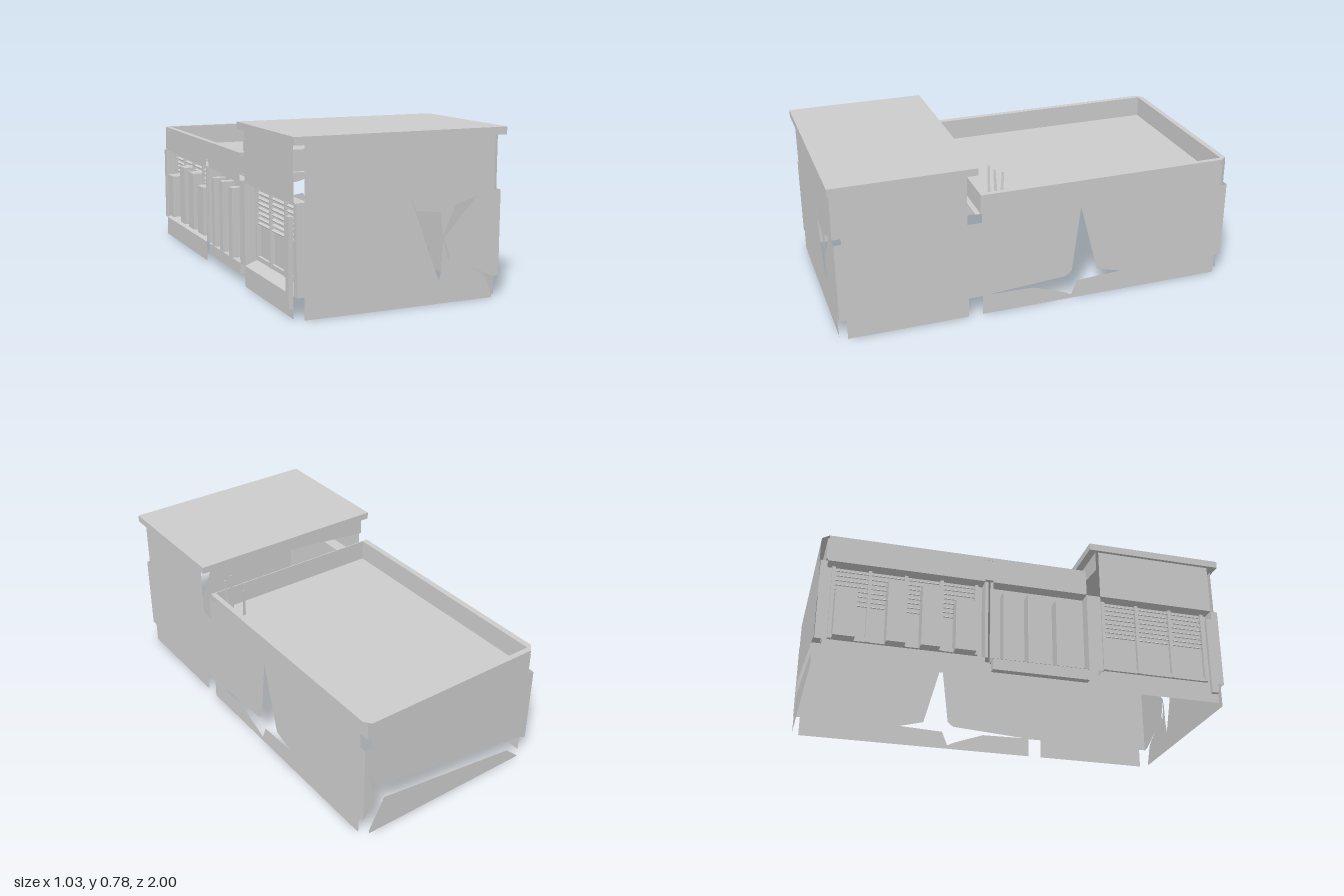
import * as THREE from 'three';

const mat = new THREE.MeshStandardMaterial({ color: 0xcccccc, side: THREE.DoubleSide, flatShading: true });

export function createModel() {
  const model = new THREE.Group();
  const add = (name, geo, parent = model) => {
    const m = new THREE.Mesh(geo, mat);
    m.name = name;
    parent.add(m);
    return m;
  };
  // Box from its two extremes on each axis
  const box = (name, x0, x1, y0, y1, z0, z1, parent) =>
    add(name, new THREE.BoxGeometry(x1 - x0, y1 - y0, z1 - z0), parent)
      .position.set((x0 + x1) / 2, (y0 + y1) / 2, (z0 + z1) / 2);
  const shape = (pts, holes = []) => {
    const v = (p) => p.map(([x, y]) => new THREE.Vector2(x, y));
    const s = new THREE.Shape(v(pts));
    for (const h of holes) s.holes.push(new THREE.Path(v(h)));
    return s;
  };
  // Thin wall facing along z
  const wallZ = (name, z, pts, holes) =>
    add(name, new THREE.ShapeGeometry(shape(pts, holes)).translate(0, 0, z));
  // Thin wall facing along x; points are given as (z, y)
  const wallX = (name, x, pts, holes = [], parent = model) => {
    const flip = (p) => p.map(([z, y]) => [-z, y]);
    return add(name, new THREE.ShapeGeometry(shape(flip(pts), holes.map(flip)))
      .rotateY(Math.PI / 2).translate(x, 0, 0), parent);
  };
  // Thin level surface; points are given as (x, -z)
  const level = (name, y, pts, holes, parent) =>
    add(name, new THREE.ShapeGeometry(shape(pts, holes)).rotateX(-Math.PI / 2).translate(0, y, 0), parent);
  const rect = (a, b, c, d) => [[a, c], [b, c], [b, d], [a, d]];

  // Front wall with a shattered hole and a broken lower corner
  wallZ('frontWall', 0.985, [
    [-0.46, 0], [0.465, 0], [0.465, 0.015], [0.43, 0.1], [0.4, 0.125], [0.325, 0.165],
    [0.465, 0.1], [0.5, 0.1], [0.5, 0.495], [0.465, 0.495], [0.465, 0.745],
    [-0.46, 0.745], [-0.46, 0.495], [-0.495, 0.495], [-0.495, 0.1], [-0.46, 0.1],
  ], [[
    [0.038, 0.493], [0.069, 0.43], [0.19, 0.415], [0.205, 0.305], [0.265, 0.44], [0.38, 0.478],
    [0.209, 0.298], [0.245, 0.21], [0.235, 0.19], [0.206, 0.29], [0.2, 0.16], [0.19, 0.1],
  ]]);

  // Plain side wall with a star-shaped breach
  wallX('sideWall', 0.5, [
    [0.95, 0], [0.36, 0], [0.36, 0.1], [0.29, 0.1], [0.29, 0], [-0.965, 0], [-0.965, 0.1],
    [-1, 0.1], [-1, 0.495], [-0.965, 0.495], [-0.965, 0.613], [0.29, 0.613], [0.29, 0.495],
    [0.36, 0.495], [0.36, 0.745], [0.95, 0.745], [0.95, 0.495], [0.985, 0.495], [0.985, 0.1], [0.95, 0.1],
  ], [[
    [0.265, 0.103], [-0.14, 0.13], [-0.17, 0.155], [-0.21, 0.495], [-0.305, 0.14], [-0.435, 0.105],
    [-0.2, 0.095], [-0.17, 0.02], [-0.13, 0.04], [0.03, 0.098],
  ]]);

  // Back wall, torn right across: upper part and a loose strip below
  wallZ('backWall', -1, [
    [0.5, 0.1], [0.5, 0.495], [0.465, 0.495], [0.465, 0.613], [-0.46, 0.613], [-0.46, 0.495],
    [-0.495, 0.495], [-0.495, 0.1], [-0.45, 0.12], [0.366, 0.255], [0.43, 0.275], [0.478, 0.377],
    [0.435, 0.18],
  ]);
  wallZ('backWallStrip', -1, [[-0.457, 0], [0.465, 0], [0.465, 0.02], [0.385, 0.177], [-0.38, 0.072]]);

  // Tall front block: roof slab and the scrap left of its rear wall
  box('frontRoof', -0.512, 0.515, 0.745, 0.78, 0.31, 1);
  wallZ('rearWallScrap', 0.345, [[-0.495, 0.645], [0.5, 0.743], [-0.495, 0.743]]);

  // Low roof: deck, parapet, and coping with clipped back corners
  level('roofDeck', 0.523, rect(-0.465, 0.465, -0.31, 0.97));
  for (const x of [-0.463, 0.465]) wallX('parapetSide', x, rect(-0.97, 0.285, 0.523, 0.63));
  for (const z of [-0.97, 0.285]) wallZ('parapetEnd', z, rect(-0.463, 0.465, 0.523, 0.63));
  level('copingTop', 0.63,
    [[-0.493, -0.29], [0.49, -0.29], [0.49, 0.965], [0.465, 0.998], [-0.46, 0.998], [-0.493, 0.965]],
    [rect(-0.463, 0.465, -0.285, 0.97)]);
  for (const x of [-0.493, 0.49]) wallX('copingSide', x, rect(-0.965, 0.29, 0.613, 0.63));
  wallZ('copingFront', 0.29, rect(-0.493, 0.49, 0.613, 0.63));
  wallZ('copingBack', -0.998, rect(-0.46, 0.465, 0.613, 0.63));

  // Window side, bay by bay: recessed panel, jambs, soffit, sill, header
  const X = -0.495, IN = -0.43;
  const makeBay = (name, z0, z1, top, sillRise) => {
    const bay = new THREE.Group();
    bay.name = name;
    model.add(bay);
    wallX('windowPanel', IN, rect(z0, z1, 0.1 + sillRise, 0.497), [], bay);
    wallX('header', X, rect(z0, z1, 0.497, top), [], bay);
    for (const z of [z0, z1]) {
      const jamb = new THREE.PlaneGeometry(IN - X, 0.395).translate((X + IN) / 2, 0.298, z);
      add('jamb', jamb, bay);
    }
    level('soffit', 0.497, rect(X, IN, -z1, -z0), [], bay);
    const sill = new THREE.PlaneGeometry(Math.hypot(IN - X, sillRise), z1 - z0)
      .rotateX(-Math.PI / 2).rotateZ(Math.atan2(sillRise, IN - X));
    add('sill', sill, bay).position.set((X + IN) / 2, 0.1 + sillRise / 2, (z0 + z1) / 2);
    return bay;
  };
  // Frames with louvres over the upper half
  const addWindows = (bay, z0, z1, count) => {
    const w = (z1 - z0) / count;
    for (let i = 0; i <= count; i++) {
      const z = z0 + i * w;
      box('mullion', -0.45, IN, 0.13, 0.495, z - 0.008, z + 0.008, bay);
    }
    box('lowerRail', -0.445, IN, 0.13, 0.15, z0, z1, bay);
    for (let i = 0; i < 8; i++) {
      const slat = add('louvre', new THREE.BoxGeometry(0.014, 0.004, z1 - z0).rotateZ(0.6), bay);
      slat.position.set(-0.438, 0.31 + i * 0.024, (z0 + z1) / 2);
    }
  };
  const rear = makeBay('rearBay', -0.965, -0.22, 0.613, 0.025);
  const middle = makeBay('middleBay', -0.18, 0.29, 0.613, 0);
  const front = makeBay('frontBay', 0.36, 0.95, 0.745, 0.025);
  wallX('baseStrip', X, rect(-0.965, -0.22, 0, 0.1), [], rear);
  wallX('baseStrip', X, rect(0.36, 0.95, 0, 0.1), [], front);
  addWindows(rear, -0.93, -0.25, 4);
  addWindows(front, 0.39, 0.92, 3);

  // Piers between the bays and at the corners
  for (const [a, b] of [[-0.998, -0.965], [-0.22, -0.205], [-0.195, -0.18], [0.29, 0.36], [0.95, 0.985]])
    wallX('pier', X, rect(a, b, 0.1, 0.495));
  box('cornerBoard', -0.515, X, 0.045, 0.44, 0.91, 0.945, front);

  // Boards set in the openings: start z, end z, top
  for (const [a, b, top] of [[-0.92, -0.82, 0.36], [-0.68, -0.59, 0.44], [-0.52, -0.43, 0.43], [-0.36, -0.26, 0.38]])
    box('windowBoard', -0.5, IN, 0.125, top, a, b, rear);
  for (const [a, b, top] of [[-0.13, -0.09, 0.455], [-0.01, 0.04, 0.455], [0.13, 0.18, 0.445]])
    box('windowBoard', X, IN, 0.1, top, a, b, middle);
  box('middleLedge', X, -0.46, 0.045, 0.099, -0.18, 0.29, middle);

  // Splinters leaning on the roof edge
  for (const [x, z, top, lean] of [[0.41, 0.225, 0.74, 0], [0.45, 0.205, 0.735, 0.06], [0.385, 0.15, 0.685, -0.04]]) {
    const h = top - 0.54;
    const s = add('splinter', new THREE.CylinderGeometry(0.006, 0.01, h, 3));
    s.position.set(x, 0.54 + h / 2, z);
    s.rotation.x = lean;
  }
  return model;
}
